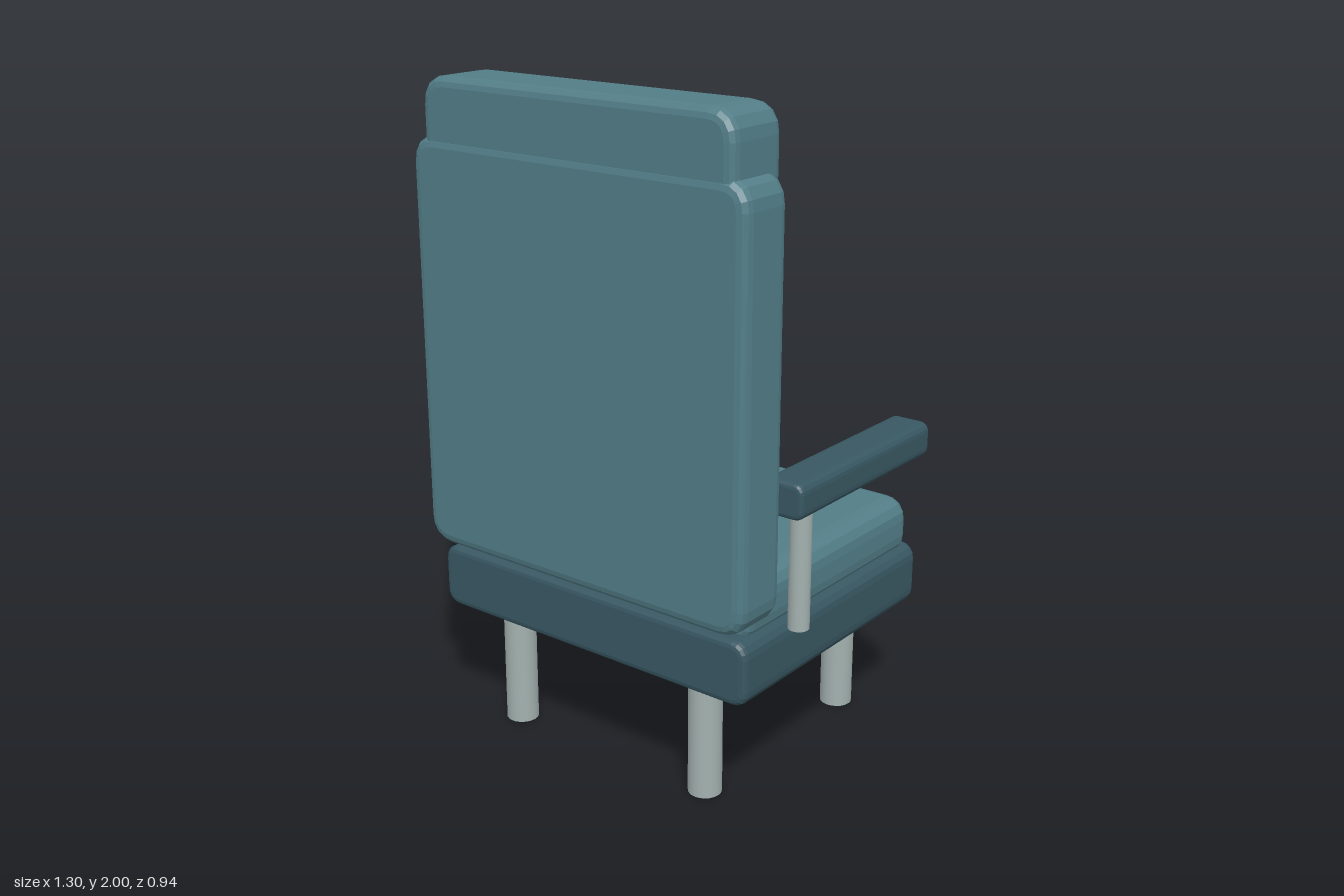
import * as THREE from 'three';

const fabric = new THREE.MeshStandardMaterial({ color: 0x527d87 });
const dark = new THREE.MeshStandardMaterial({ color: 0x385762 });
const panel = new THREE.MeshStandardMaterial({ color: 0x335c66 });
const metal = new THREE.MeshStandardMaterial({ color: 0xa3b1af });

// Rounded slab extruded along z: outer limits, corner radius and bevel
function slab(name, material, [x0, x1], [y0, y1], [z0, z1], radius, bevel) {
  const w = (x1 - x0) / 2 - bevel, h = (y1 - y0) / 2 - bevel, r = radius - bevel;
  const s = new THREE.Shape();
  s.moveTo(-w + r, -h);
  s.lineTo(w - r, -h);
  s.quadraticCurveTo(w, -h, w, -h + r);
  s.lineTo(w, h - r);
  s.quadraticCurveTo(w, h, w - r, h);
  s.lineTo(-w + r, h);
  s.quadraticCurveTo(-w, h, -w, h - r);
  s.lineTo(-w, -h + r);
  s.quadraticCurveTo(-w, -h, -w + r, -h);
  const depth = z1 - z0 - 2 * bevel;
  const geometry = new THREE.ExtrudeGeometry(s, {
    depth, curveSegments: 4, bevelSize: bevel, bevelThickness: bevel, bevelSegments: 3,
  });
  geometry.translate((x0 + x1) / 2, (y0 + y1) / 2, z0 + bevel);
  const mesh = new THREE.Mesh(geometry, material);
  mesh.name = name;
  return mesh;
}

// Upright round metal tube
function post(name, radius, x, y0, y1, z) {
  const mesh = new THREE.Mesh(new THREE.CylinderGeometry(radius, radius, y1 - y0, 20), metal);
  mesh.position.set(x, (y0 + y1) / 2, z);
  mesh.name = name;
  return mesh;
}

export function createModel() {
  const chair = new THREE.Group();
  chair.name = 'armchair';

  // Seat
  chair.add(slab('seatBase', dark, [-0.57, 0.57], [0.37, 0.565], [-0.47, 0.43], 0.05, 0.02));
  chair.add(slab('seatCushion', fabric, [-0.545, 0.545], [0.53, 0.715], [-0.452, 0.38], 0.07, 0.03));

  // Back, with headrest and inset panel on the sitting side
  chair.add(slab('backrest', fabric, [-0.587, 0.587], [0.592, 1.832], [0.287, 0.473], 0.085, 0.032));
  chair.add(slab('headrest', fabric, [-0.542, 0.542], [1.728, 2], [0.254, 0.468], 0.085, 0.03));
  chair.add(slab('backPanel', panel, [-0.462, 0.462], [0.838, 1.675], [0.247, 0.31], 0.025, 0.01));

  for (const [side, s] of [['left', 1], ['right', -1]]) {
    // Armrests and their posts
    const x = [0.52 * s, 0.652 * s].sort((a, b) => a - b);
    chair.add(slab(side + 'Armrest', dark, x, [0.898, 1.003], [-0.372, 0.295], 0.03, 0.014));
    chair.add(post(side + 'ArmPost', 0.031, 0.588 * s, 0.54, 0.93, 0.2));

    // Legs
    chair.add(post(side + 'FrontLeg', 0.05, 0.36 * s, 0, 0.4, -0.37));
    chair.add(post(side + 'RearLeg', 0.05, 0.36 * s, 0, 0.4, 0.325));
  }
  return chair;
}
